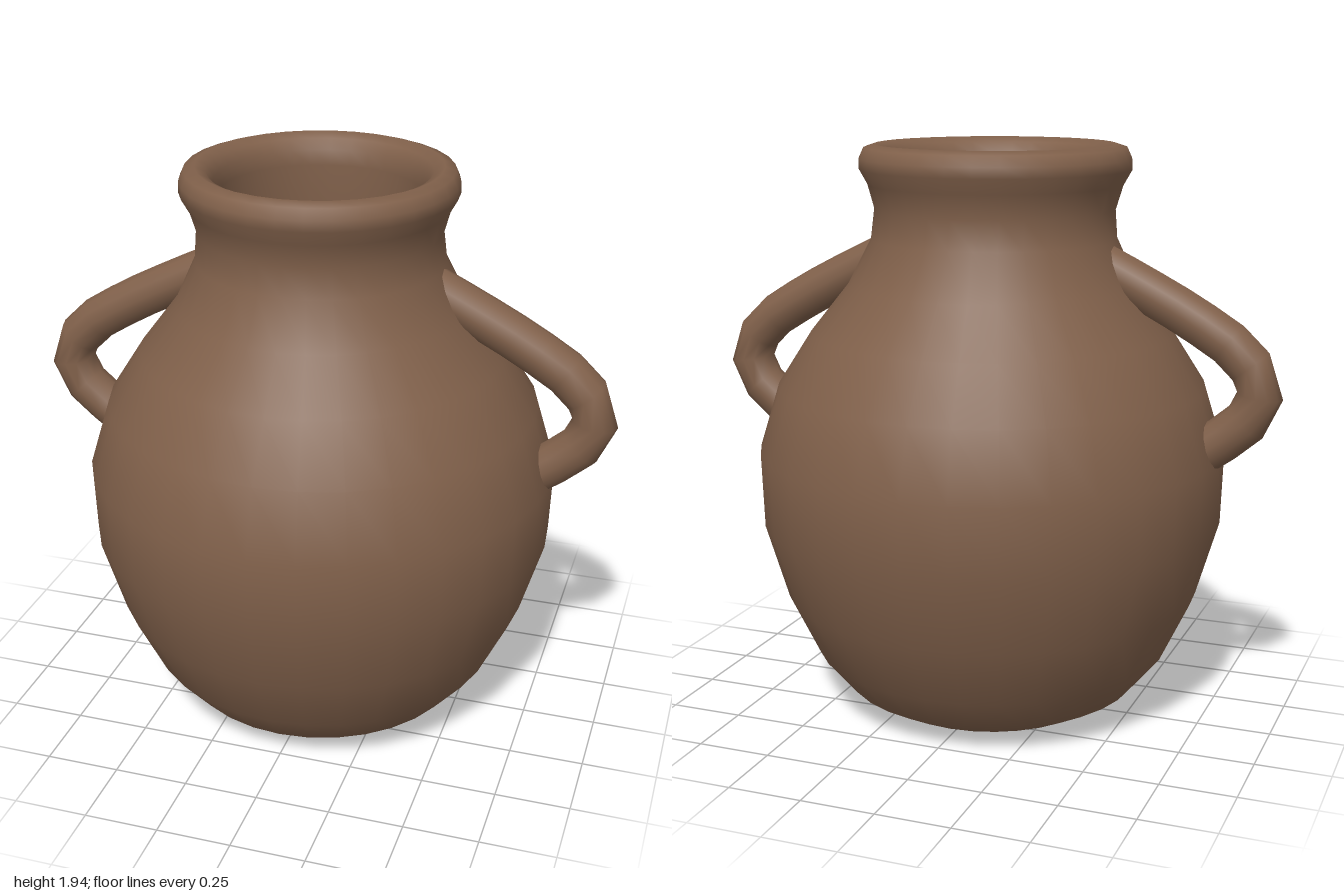
import * as THREE from 'three';

export function createModel() {
  const group = new THREE.Group();
  group.name = 'jug';
  const clay = new THREE.MeshStandardMaterial({ color: 0x80604a });
  clay.name = 'brown clay';

  const lathe = (name, pts, segments = 32) => {
    const geo = new THREE.LatheGeometry(pts.map(([r, y]) => new THREE.Vector2(r, y)), segments);
    // the hand-thrown neck leans very slightly to one side
    const pos = geo.attributes.position;
    for (let i = 0; i < pos.count; i++) {
      const lean = THREE.MathUtils.smoothstep(pos.getY(i), 1.3, 1.85);
      pos.setX(i, pos.getX(i) - 0.012 * lean);
    }
    const mesh = new THREE.Mesh(geo, clay);
    mesh.name = name;
    group.add(mesh);
  };

  // Outer wall, rolled rim and inner wall as one continuous profile
  lathe('body', [
    [0.11, 0], [0.22, 0.005], [0.395, 0.025], [0.505, 0.085], [0.61, 0.21],
    [0.71, 0.42], [0.785, 0.675], [0.793, 0.92], [0.725, 1.14], [0.61, 1.32],
    [0.485, 1.48], [0.412, 1.63], [0.402, 1.73], [0.425, 1.81], [0.453, 1.86],
    [0.452, 1.895], [0.436, 1.93], [0.4, 1.942], [0.365, 1.925], [0.342, 1.89],
    [0.335, 1.84], [0.336, 1.6], [0.36, 1.5], [0.52, 1.28], [0.65, 1.1], [0.715, 0.9],
    [0.71, 0.68], [0.64, 0.44], [0.54, 0.25], [0.42, 0.14], [0.22, 0.09], [0, 0.08],
  ]);

  // Small disc in the centre of the underside
  lathe('baseDisc', [[0, 0.004], [0.11, 0.004], [0.112, 0]]);

  // Two loop handles, the ends buried in the wall
  const path = new THREE.CatmullRomCurve3([
    [0.37, 1.563], [0.52, 1.49], [0.69, 1.4], [0.85, 1.295],
    [0.922, 1.19], [0.895, 1.09], [0.77, 0.98], [0.72, 0.945],
  ].map(([x, y]) => new THREE.Vector3(x, y, 0)));
  const handleGeo = new THREE.TubeGeometry(path, 10, 0.075, 12);
  for (const [name, turn] of [['leftHandle', 0], ['rightHandle', Math.PI]]) {
    const handle = new THREE.Mesh(handleGeo, clay);
    handle.name = name;
    handle.rotation.y = turn;
    group.add(handle);
  }
  return group;
}
